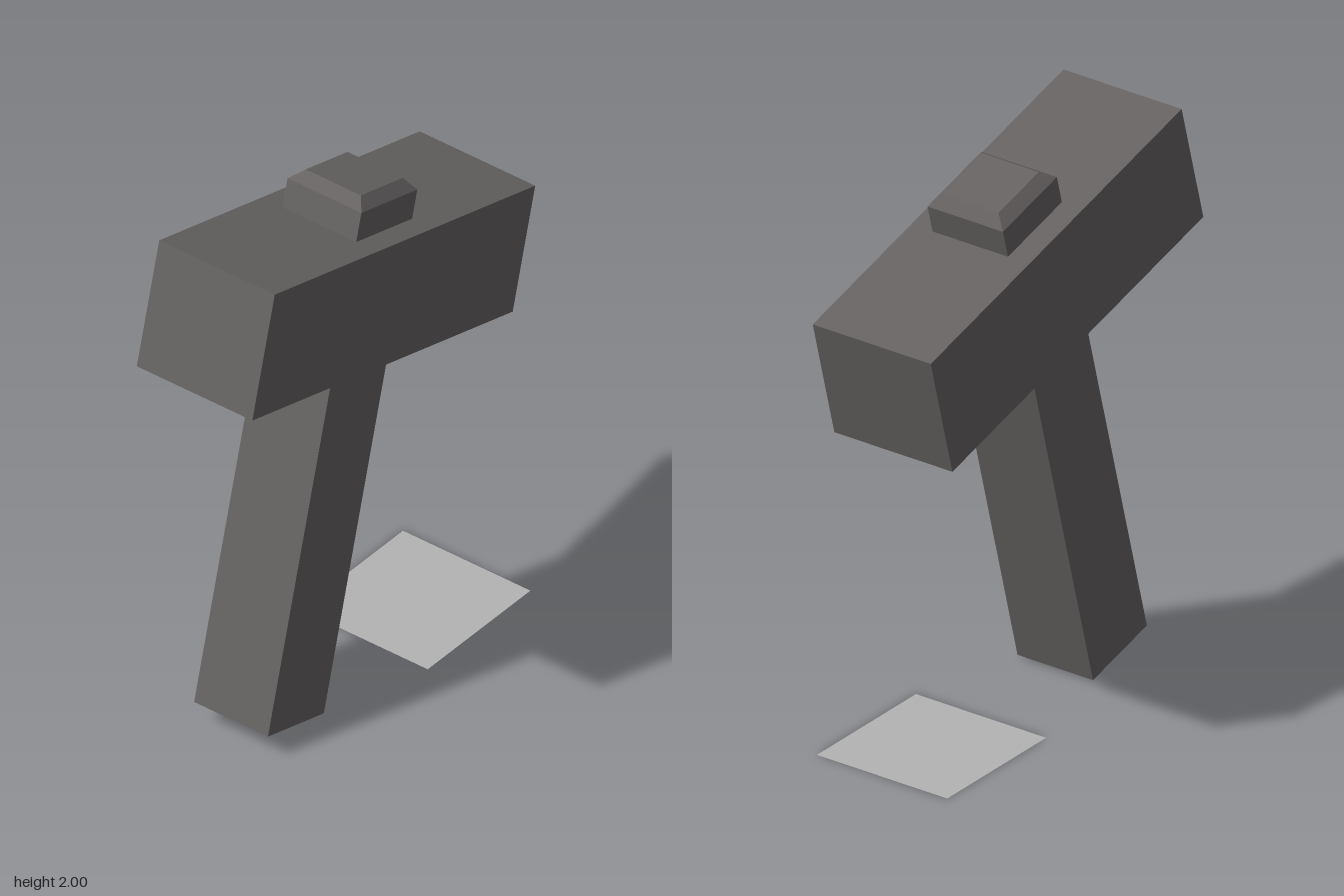
import * as THREE from 'three';

export function createModel() {
  const model = new THREE.Group();
  model.name = 'hammerAndGroundPatch';

  const darkGrey = new THREE.MeshStandardMaterial({ color: 0x666262 });
  darkGrey.name = 'darkGrey';
  const paleGrey = new THREE.MeshStandardMaterial({ color: 0xb4b4b4, side: THREE.DoubleSide });
  paleGrey.name = 'paleGrey';

  // Hammer: upright in its own frame around the head centre, then leaned back
  const hammer = new THREE.Group();
  hammer.name = 'hammer';
  hammer.position.y = 1.59;
  hammer.rotation.x = -Math.PI / 12;
  model.add(hammer);

  const add = (parent, name, geometry, material, y) => {
    const mesh = new THREE.Mesh(geometry, material);
    mesh.name = name;
    mesh.position.y = y;
    parent.add(mesh);
    return mesh;
  };

  add(hammer, 'head', new THREE.BoxGeometry(0.485, 0.465, 1.444), darkGrey, 0);

  // Handle runs through the head and sticks out at the top
  const side = 0.31, bottom = -1.594, shoulder = 0.34, tip = 0.378;
  add(hammer, 'handle', new THREE.BoxGeometry(side, shoulder - bottom, side), darkGrey, (shoulder + bottom) / 2);

  // Bevelled end of the handle: a four-sided frustum
  const cap = new THREE.CylinderGeometry(0.116 * Math.SQRT2, side / Math.SQRT2, tip - shoulder, 4)
    .rotateY(Math.PI / 4).toNonIndexed();
  cap.computeVertexNormals();
  add(hammer, 'handleCap', cap, darkGrey, (shoulder + tip) / 2);

  // Flat patch on the ground behind the handle
  const patch = add(model, 'groundPatch', new THREE.PlaneGeometry(0.535, 0.55).rotateX(-Math.PI / 2), paleGrey, 0);
  patch.position.z = -0.425;

  return model;
}
